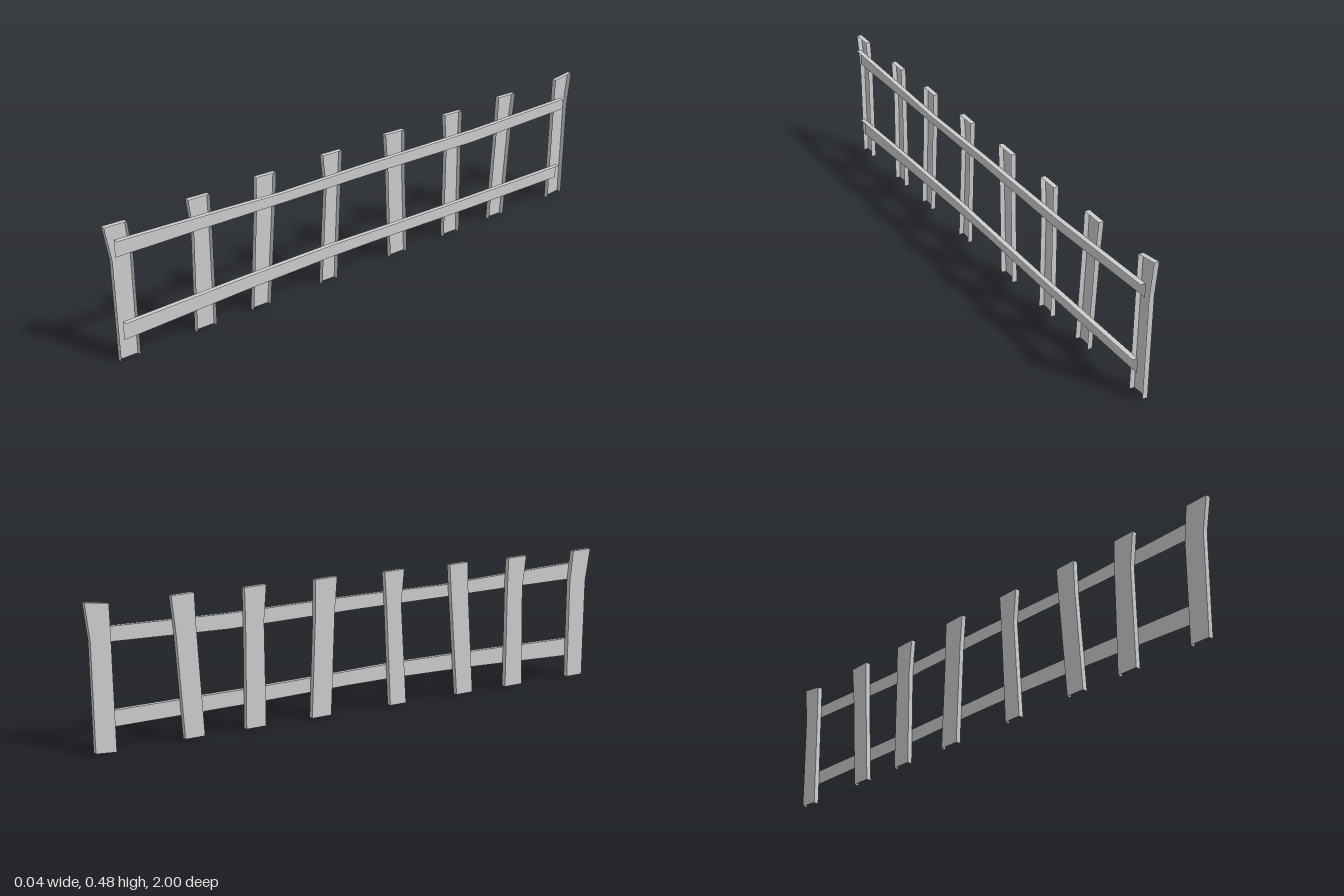
import * as THREE from 'three';

const DEPTH = 0.018;
const material = new THREE.MeshStandardMaterial({
  color: 0xcccccc, flatShading: true, side: THREE.DoubleSide,
});

// Joins a row of open cross-sections with quads; extra quads close the ends.
function skin(sections, extraQuads = []) {
  const quads = [...extraQuads];
  for (let i = 0; i < sections.length - 1; i++) {
    const s = sections[i], n = sections[i + 1];
    for (let j = 0; j < s.length - 1; j++) quads.push([s[j + 1], s[j], n[j], n[j + 1]]);
  }
  const positions = quads.flatMap(([a, b, c, d]) => [a, b, c, a, c, d].flat());
  const geometry = new THREE.BufferGeometry();
  geometry.setAttribute('position', new THREE.Float32BufferAttribute(positions, 3));
  geometry.computeVertexNormals();
  return geometry;
}

function addPart(group, name, geometry) {
  const mesh = new THREE.Mesh(geometry, material);
  mesh.name = name;
  group.add(mesh);
}

// Picket: a shallow channel, open at the bottom and towards the rails.
// Each row is [left z, left y, right z, right y], from bottom to top.
function picketGeometry(rows) {
  const sections = rows.map(([zl, yl, zr, yr]) => [
    [0, yl, zl], [-DEPTH, yl, zl], [-DEPTH, yr, zr], [0, yr, zr],
  ]);
  const [a, b, c, d] = sections[sections.length - 1];
  return skin(sections, [[b, a, d, c]]);
}

// Rail: an upright strip with a narrow ledge along its top edge.
// Each row is [z, bottom y, top y].
function railGeometry(rows) {
  return skin(rows.map(([z, y0, y1]) => [[0, y0, z], [0, y1, z], [DEPTH, y1, z]]));
}

export function createModel() {
  const fence = new THREE.Group();
  fence.name = 'fence';

  // Edges of each picket in z: bottom pair, bend pair, top pair
  const pickets = [
    [0.975, 0.905, 0.98, 0.907, 1.0, 0.92],
    [0.69, 0.615, 0.685, 0.617, 0.70, 0.62],
    [0.467, 0.398, 0.443, 0.37, 0.44, 0.362],
    [0.18, 0.115, 0.158, 0.098, 0.17, 0.09],
    [-0.125, -0.20, -0.11, -0.185, -0.10, -0.185],
    [-0.377, -0.45, -0.38, -0.448, -0.37, -0.45],
    [-0.602, -0.672, -0.625, -0.697, -0.63, -0.71],
    [-0.91, -0.98, -0.917, -0.985, -0.92, -1.0],
  ];
  pickets.forEach(([bl, br, ml, mr, tl, tr], i) => {
    const last = i === pickets.length - 1;
    addPart(fence, `picket${i + 1}`, picketGeometry([
      [bl, last ? 0 : 0.006, br, 0.005],
      [ml, 0.36, mr, 0.36],
      [tl, last ? 0.473 : 0.478, tr, last ? 0.483 : 0.475],
    ]));
  });

  // Slightly sagging rails
  addPart(fence, 'upperRail', railGeometry([
    [0.97, 0.37, 0.43], [0.65, 0.366, 0.417], [0.35, 0.36, 0.403],
    [0, 0.355, 0.402], [-0.5, 0.342, 0.393], [-0.965, 0.35, 0.398],
  ]));
  addPart(fence, 'lowerRail', railGeometry([
    [0.96, 0.08, 0.145], [0.5, 0.093, 0.15], [0.15, 0.097, 0.15],
    [-0.05, 0.095, 0.144], [-0.4, 0.085, 0.136], [-0.945, 0.077, 0.13],
  ]));

  return fence;
}
